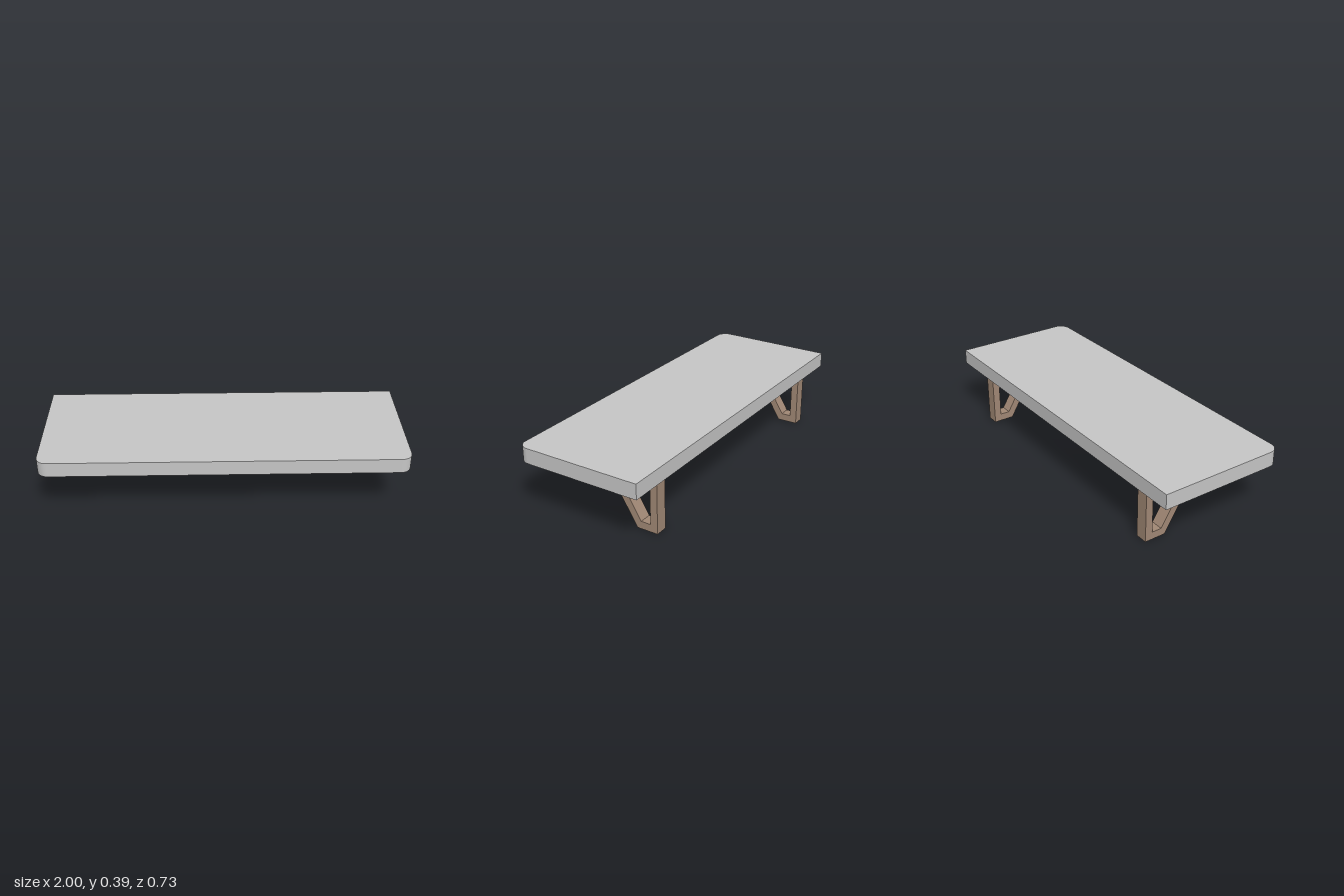
import * as THREE from 'three';
import { toCreasedNormals } from 'three/addons/utils/BufferGeometryUtils.js';

export function createModel() {
  const group = new THREE.Group();
  const stone = new THREE.MeshStandardMaterial({ name: 'light grey', color: 0xc6c6c6 });
  const wood = new THREE.MeshStandardMaterial({ name: 'brown', color: 0xa18875 });

  // Slab: square back corners, rounded front corners
  const top = 0.394, bottom = 0.309, halfDepth = 0.363, r = 0.06;
  const outline = new THREE.Shape();
  outline.moveTo(-1, -halfDepth);
  outline.lineTo(1, -halfDepth);
  outline.lineTo(1, halfDepth - r);
  outline.absarc(1 - r, halfDepth - r, r, 0, Math.PI / 2, false);
  outline.lineTo(-1 + r, halfDepth);
  outline.absarc(-1 + r, halfDepth - r, r, Math.PI / 2, Math.PI, false);
  outline.closePath();
  const slabGeometry = new THREE.ExtrudeGeometry(outline, {
    depth: top - bottom, bevelEnabled: false, curveSegments: 12,
  });
  slabGeometry.rotateX(Math.PI / 2);
  const slab = new THREE.Mesh(toCreasedNormals(slabGeometry, 0.5), stone);
  slab.name = 'shelfSlab';
  slab.position.y = top;
  group.add(slab);

  // Brackets: slanted frame with an opening, profile drawn as (z, y)
  const points = (list) => list.map(([z, y]) => new THREE.Vector2(z, y));
  const frame = new THREE.Shape(points([[-0.331, 0], [-0.21, 0], [-0.02, bottom], [-0.331, bottom]]));
  frame.holes.push(new THREE.Path(points([[-0.289, 0.043], [-0.289, 0.276], [-0.09, 0.276], [-0.233, 0.043]])));
  const width = 0.07;
  const bracketGeometry = new THREE.ExtrudeGeometry(frame, { depth: width, bevelEnabled: false });
  bracketGeometry.translate(0, 0, -width / 2);
  bracketGeometry.rotateY(-Math.PI / 2);
  for (const [name, x] of [['rightBracket', -0.777], ['leftBracket', 0.754]]) {
    const bracket = new THREE.Mesh(bracketGeometry, wood);
    bracket.name = name;
    bracket.position.x = x;
    group.add(bracket);
  }
  return group;
}
